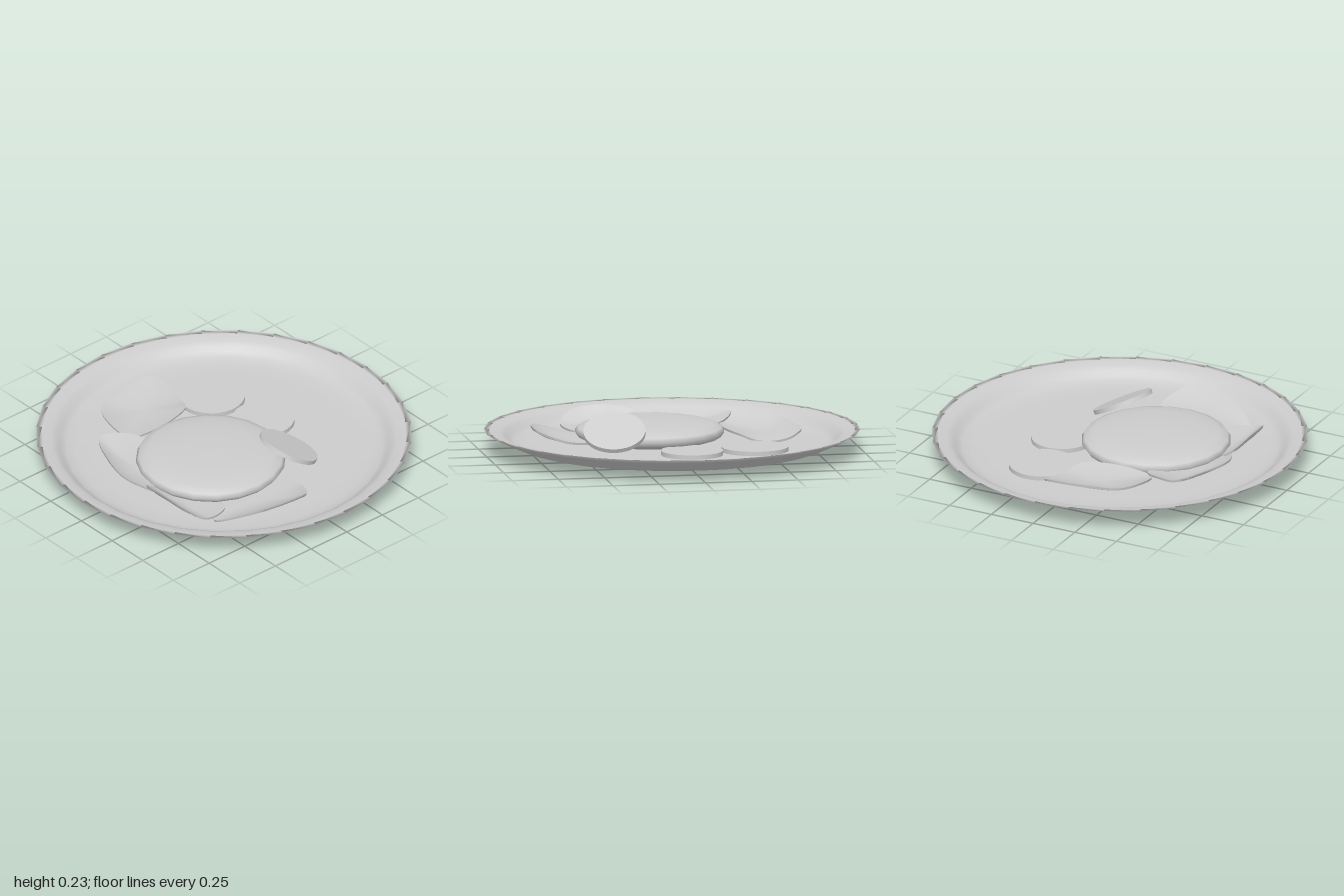
import * as THREE from 'three';
import { toCreasedNormals } from 'three/addons/utils/BufferGeometryUtils.js';

const material = new THREE.MeshStandardMaterial({ color: 0xcccccc, side: THREE.DoubleSide });

function addMesh(group, name, geometry) {
  const mesh = new THREE.Mesh(geometry, material);
  mesh.name = name;
  group.add(mesh);
  return mesh;
}

const lathe = (profile, segments) =>
  new THREE.LatheGeometry(profile.map(([r, y]) => new THREE.Vector2(r, y)), segments);

// Curled leaf: concentric rings of a closed outline, dished to the centre, with a thin underside
function leafGeometry(outline, centre) {
  const curve = new THREE.CatmullRomCurve3(outline.map((p) => new THREE.Vector3(...p)), true);
  const n = 40;
  const rim = curve.getPoints(n).slice(0, n);
  const mid = new THREE.Vector3(...centre);
  const rings = [[0, 0], [0.25, 0], [0.5, 0], [0.75, 0], [0.92, 0], [1, 0],
    [0.99, -0.012], [0.75, -0.012], [0.4, -0.012], [0, -0.012]];
  const positions = [], indices = [];
  rings.forEach(([s, drop], r) => {
    rim.forEach((p, i) => {
      positions.push(
        mid.x + (p.x - mid.x) * s,
        mid.y + (p.y - mid.y) * s * s + drop,
        mid.z + (p.z - mid.z) * s);
      if (r === rings.length - 1) return;
      const j = (i + 1) % n, a = r * n, b = a + n;
      if (r > 0) indices.push(a + i, a + j, b + i);
      if (r < rings.length - 2) indices.push(a + j, b + j, b + i);
      else return;
    });
  });
  const g = new THREE.BufferGeometry();
  g.setAttribute('position', new THREE.Float32BufferAttribute(positions, 3));
  g.setIndex(indices);
  return toCreasedNormals(g, 0.9);
}

export function createModel() {
  const model = new THREE.Group();
  model.name = 'plateOfFood';

  // Shallow plate with a raised rim, from underside centre round to the floor centre
  addMesh(model, 'plate', lathe([
    [0, 0], [0.4, 0.01], [0.7, 0.022], [0.79, 0.03], [0.83, 0.042], [0.9, 0.073], [0.96, 0.1], [1, 0.12],
    [0.97, 0.117], [0.92, 0.107], [0.89, 0.092], [0.87, 0.068], [0.84, 0.05], [0.79, 0.04],
    [0.7, 0.036], [0, 0.034],
  ], 32));

  // Rounded patty
  addMesh(model, 'patty', lathe([
    [0, 0.036], [0.32, 0.038], [0.38, 0.058], [0.4, 0.085], [0.385, 0.108],
    [0.34, 0.126], [0.25, 0.138], [0.13, 0.144], [0, 0.147],
  ], 20)).position.set(-0.17, 0, 0.09);

  // Vegetable slices: radius, centre, tilt about x, tilt about z
  const slices = [
    [0.18, [0.255, 0.047, -0.4], 0, 0],
    [0.165, [0.32, 0.047, -0.05], 0, 0],
    [0.165, [0.16, 0.14, 0.34], 0.12, -0.47],
  ];
  slices.forEach(([radius, centre, tiltX, tiltZ], i) => {
    const slice = addMesh(model, 'slice' + (i + 1), new THREE.CylinderGeometry(radius, radius, 0.024, 40));
    slice.position.set(...centre);
    slice.rotation.set(tiltX, 0, tiltZ);
  });

  // Leaves tucked round the patty, outer edges lifted
  const leaves = [
    { name: 'backLeaf', centre: [-0.12, 0.07, -0.5], outline: [
      [-0.37, 0.09, -0.34], [-0.385, 0.115, -0.5], [-0.32, 0.12, -0.625], [-0.12, 0.118, -0.675],
      [0.08, 0.115, -0.685], [0.13, 0.075, -0.6], [0.1, 0.06, -0.46], [0.04, 0.09, -0.36],
      [-0.12, 0.095, -0.31], [-0.27, 0.09, -0.31]] },
    { name: 'rightBackLeaf', centre: [-0.51, 0.07, -0.14], outline: [
      [-0.53, 0.12, -0.4], [-0.45, 0.12, -0.4], [-0.32, 0.09, -0.3], [-0.42, 0.07, -0.1],
      [-0.5, 0.06, 0.08], [-0.58, 0.075, 0.125], [-0.635, 0.1, 0.07], [-0.665, 0.115, -0.05],
      [-0.62, 0.12, -0.23]] },
    { name: 'rightFrontLeaf', centre: [-0.53, 0.06, 0.3], outline: [
      [-0.63, 0.12, 0.1], [-0.655, 0.15, 0.25], [-0.635, 0.13, 0.43], [-0.57, 0.085, 0.5],
      [-0.48, 0.07, 0.505], [-0.38, 0.06, 0.45], [-0.42, 0.05, 0.28], [-0.53, 0.055, 0.1]] },
    { name: 'frontLeaf', centre: [-0.19, 0.06, 0.54], outline: [
      [-0.51, 0.05, 0.51], [-0.4, 0.095, 0.63], [-0.25, 0.128, 0.71], [-0.11, 0.14, 0.74],
      [-0.04, 0.125, 0.72], [0.035, 0.08, 0.59], [0.03, 0.065, 0.5], [-0.02, 0.06, 0.4],
      [-0.2, 0.055, 0.38], [-0.39, 0.05, 0.43]] },
  ];
  leaves.forEach(({ name, centre, outline }) => {
    // Keep every outline running the same way so the tops face up
    let area = 0;
    outline.forEach((p, i) => {
      const q = outline[(i + 1) % outline.length];
      area += p[0] * q[2] - q[0] * p[2];
    });
    addMesh(model, name, leafGeometry(area > 0 ? outline : [...outline].reverse(), centre));
  });

  return model;
}
